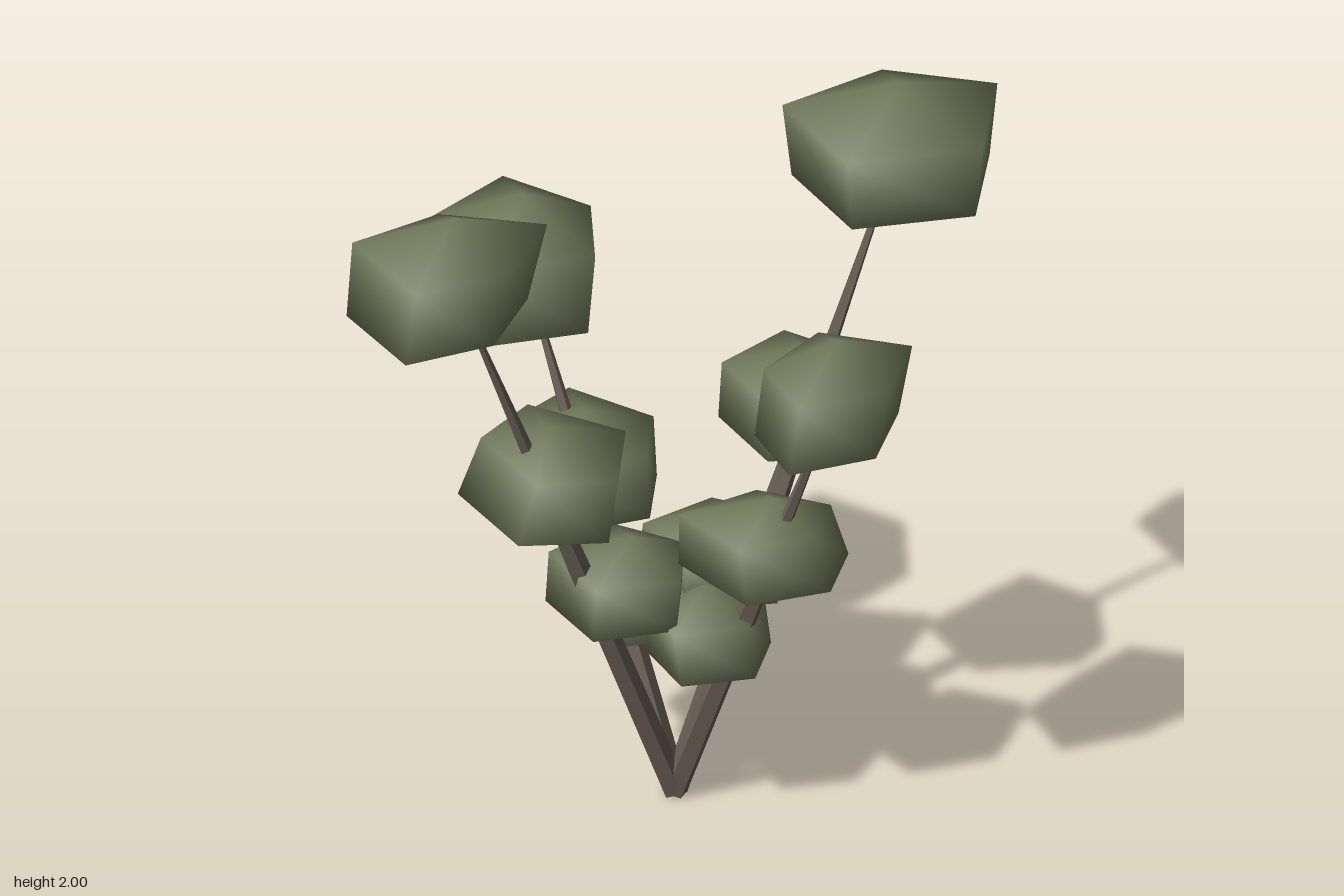
import * as THREE from 'three';

const leaf = new THREE.MeshStandardMaterial({ color: 0x6f785a });
leaf.name = 'leafGreen';
const bark = new THREE.MeshStandardMaterial({ color: 0x685f54, flatShading: true });
bark.name = 'barkBrown';

const BASE = new THREE.Vector3(-0.035, 0.012, 0.035);

// Five-sided leaf clump: two pentagon rings between a top and a bottom point.
// ring holds [x, z] corners of the upper ring; low = [scale, dx, dz] makes the lower one.
function clump(name, [cx, cy, cz], half, ring, low) {
  const corners = ring
    .map(([x, z]) => [x - cx, z - cz])
    .sort((a, b) => Math.atan2(-a[1], a[0]) - Math.atan2(-b[1], b[0]));
  const pos = [0, half, 0, 0, -half, 0];
  for (const [x, z] of corners) {
    pos.push(x, half * 0.53, z);
    pos.push(x * low[0] + low[1], -half * 0.5, z * low[0] + low[2]);
  }
  const index = [];
  for (let i = 0; i < 5; i++) {
    const u = 2 + i * 2, l = u + 1;
    const u2 = 2 + ((i + 1) % 5) * 2, l2 = u2 + 1;
    index.push(0, u, u2, u, l, l2, u, l2, u2, 1, l2, l);
  }
  const geo = new THREE.BufferGeometry();
  geo.setAttribute('position', new THREE.Float32BufferAttribute(pos, 3));
  geo.setIndex(index);
  geo.computeVertexNormals();
  const mesh = new THREE.Mesh(geo, leaf);
  mesh.name = name;
  mesh.position.set(cx, cy, cz);
  return mesh;
}

// Tapered stem from the shared base to the middle of the top clump
function stem(tip) {
  const dir = new THREE.Vector3(...tip).sub(BASE);
  const len = dir.length();
  const profile = [[0, 0], [0.037, 0], [0.033, 0.45], [0.019, 0.69], [0.005, 1]]
    .map(([r, t]) => new THREE.Vector2(r, t * len));
  const mesh = new THREE.Mesh(new THREE.LatheGeometry(profile, 5), bark);
  mesh.name = 'stem';
  mesh.position.copy(BASE);
  mesh.quaternion.setFromUnitVectors(new THREE.Vector3(0, 1, 0), dir.normalize());
  return mesh;
}

function branch(name, top, middle, bottom) {
  const g = new THREE.Group();
  g.name = name;
  g.add(stem(top[0]));
  g.add(clump('topClump', ...top));
  g.add(clump('middleClump', ...middle));
  g.add(clump('lowerClump', ...bottom));
  return g;
}

export function createModel() {
  const model = new THREE.Group();
  model.name = 'shrub';

  model.add(branch('leftBranch',
    [[0.67, 1.792, 0.02], 0.208,
      [[0.983, 0.01], [0.75, -0.21], [0.42, -0.175], [0.412, 0.195], [0.766, 0.306]], [0.92, 0, 0]],
    [[0.375, 1.097, 0.03], 0.168,
      [[0.544, 0.01], [0.44, -0.2], [0.206, -0.13], [0.2, 0.13], [0.44, 0.23]], [1.08, 0.01, 0]],
    [[0.12, 0.695, 0.03], 0.14,
      [[0.29, 0.01], [0.18, -0.14], [-0.05, -0.11], [-0.05, 0.13], [0.18, 0.22]], [1.05, -0.01, 0]]));

  model.add(branch('rightBranch',
    [[-0.74, 1.792, 0.07], 0.208,
      [[-0.96, -0.1], [-0.68, -0.12], [-0.454, 0.074], [-0.676, 0.264], [-0.956, 0.238]], [0.93, -0.04, 0]],
    [[-0.44, 1.096, 0.06], 0.166,
      [[-0.56, -0.1], [-0.36, -0.195], [-0.203, 0.063], [-0.36, 0.296], [-0.56, 0.2]], [1.1, -0.045, -0.01]],
    [[-0.18, 0.7, 0.05], 0.145,
      [[-0.01, 0.05], [-0.13, 0.23], [-0.355, 0.17], [-0.355, -0.09], [-0.13, -0.14]], [1, -0.01, 0]]));

  model.add(branch('frontBranch',
    [[0.16, 1.425, 0.57], 0.19,
      [[0.217, 0.375], [0.4, 0.565], [0.217, 0.757], [-0.04, 0.72], [-0.01, 0.475]], [0.97, -0.035, 0]],
    [[0.09, 0.882, 0.35], 0.153,
      [[-0.11, 0.19], [0.137, 0.18], [0.27, 0.35], [0.14, 0.49], [-0.07, 0.45]], [1.12, 0.025, 0.015]],
    [[-0.01, 0.56, 0.16], 0.14,
      [[0.165, 0.17], [0.05, 0.02], [-0.15, 0.05], [-0.165, 0.26], [0.03, 0.32]], [1, 0.005, 0.03]]));

  model.add(branch('backBranch',
    [[-0.2, 1.425, -0.5], 0.217,
      [[-0.11, -0.767], [0.015, -0.508], [-0.116, -0.255], [-0.42, -0.334], [-0.397, -0.667]], [0.94, -0.02, 0.02]],
    [[-0.14, 0.888, -0.28], 0.174,
      [[0.08, -0.28], [-0.04, -0.53], [-0.3, -0.44], [-0.31, -0.13], [-0.05, -0.09]], [1.02, 0, 0.01]],
    [[-0.07, 0.557, -0.1], 0.15,
      [[0.08, -0.1], [-0.02, -0.265], [-0.2, -0.2], [-0.2, 0], [-0.01, 0.06]], [1.03, 0, 0]]));

  return model;
}
